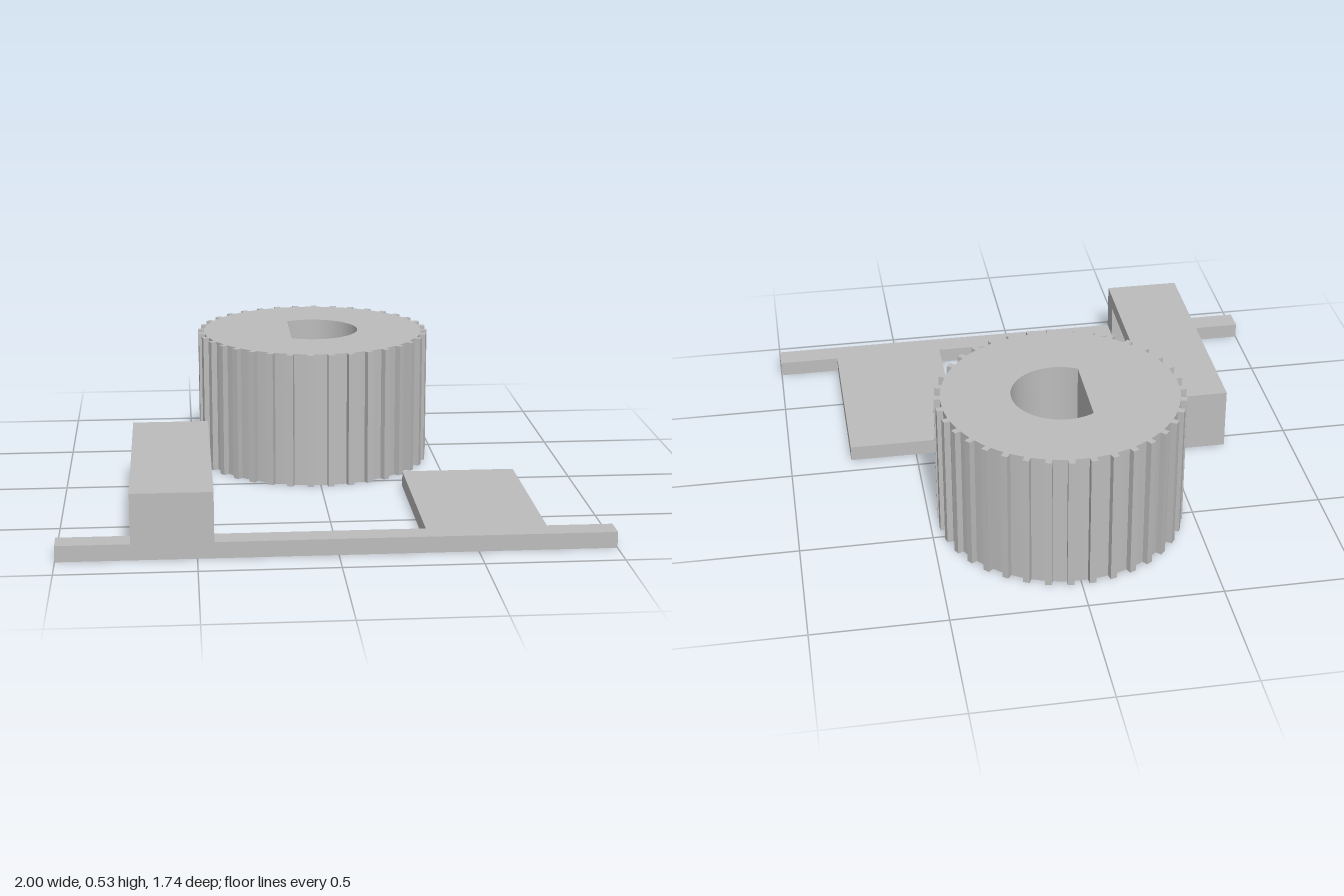
import * as THREE from 'three';
import { toCreasedNormals } from 'three/addons/utils/BufferGeometryUtils.js';

const grey = new THREE.MeshStandardMaterial({ color: 0xbcbcbc });
grey.name = 'plain grey';

function mesh(name, geometry) {
  const m = new THREE.Mesh(geometry, grey);
  m.name = name;
  return m;
}

const outline = (points) => new THREE.Shape(points.map(([x, y]) => new THREE.Vector2(x, y)));

// Extrude a plan (x, -z) straight up from the ground
function extrudeUp(shape, height) {
  return new THREE.ExtrudeGeometry(shape, { depth: height, bevelEnabled: false, curveSegments: 64 })
    .rotateX(-Math.PI / 2);
}

// Toothed wheel with a D-shaped bore
function makeWheel() {
  const teeth = 36, root = 0.445, tip = 0.469, halfWidth = 0.0125;
  const step = (Math.PI * 2) / teeth;
  const rootHalf = Math.asin(halfWidth / root), tipHalf = Math.asin(halfWidth / tip);
  const points = [];
  const polar = (r, a) => points.push([r * Math.cos(a), r * Math.sin(a)]);
  for (let i = 0; i < teeth; i++) {
    const a = (i + 0.5) * step;
    polar(root, a - rootHalf);
    polar(tip, a - tipHalf);
    polar(tip, a + tipHalf);
    polar(root, a + rootHalf);
    polar(root, a + step / 2);
  }
  const shape = outline(points);
  const bore = 0.184, flat = Math.acos(-0.095 / bore);
  const hole = new THREE.Path();
  hole.absarc(0, 0, bore, -flat, flat, false);
  hole.closePath();
  shape.holes.push(hole);
  const wheel = mesh('toothedWheel', toCreasedNormals(extrudeUp(shape, 0.532), 0.4));
  wheel.position.z = -0.405;
  return wheel;
}

// Flat base: long front bar with a wide tab reaching back
function makeBase() {
  return mesh('baseBarWithTab', extrudeUp(outline([
    [-1, -0.87], [1, -0.87], [1, -0.778], [0.76, -0.778],
    [0.76, -0.075], [0.32, -0.075], [0.32, -0.778], [-1, -0.778],
  ]), 0.06));
}

// Raised bridge: front leg stands on the bar, rear leg on the ground
function makeBridge() {
  const side = outline([
    [0.87, 0.06], [0.87, 0.245], [-0.06, 0.245], [-0.06, 0],
    [0.03, 0], [0.03, 0.19], [0.78, 0.19], [0.78, 0.06],
  ]);
  const geometry = new THREE.ExtrudeGeometry(side, { depth: 0.295, bevelEnabled: false })
    .rotateY(-Math.PI / 2)
    .translate(-0.44, 0, 0);
  return mesh('bridge', geometry);
}

export function createModel() {
  const model = new THREE.Group();
  model.name = 'wheelAndBracket';
  model.add(makeWheel(), makeBase(), makeBridge());
  return model;
}
